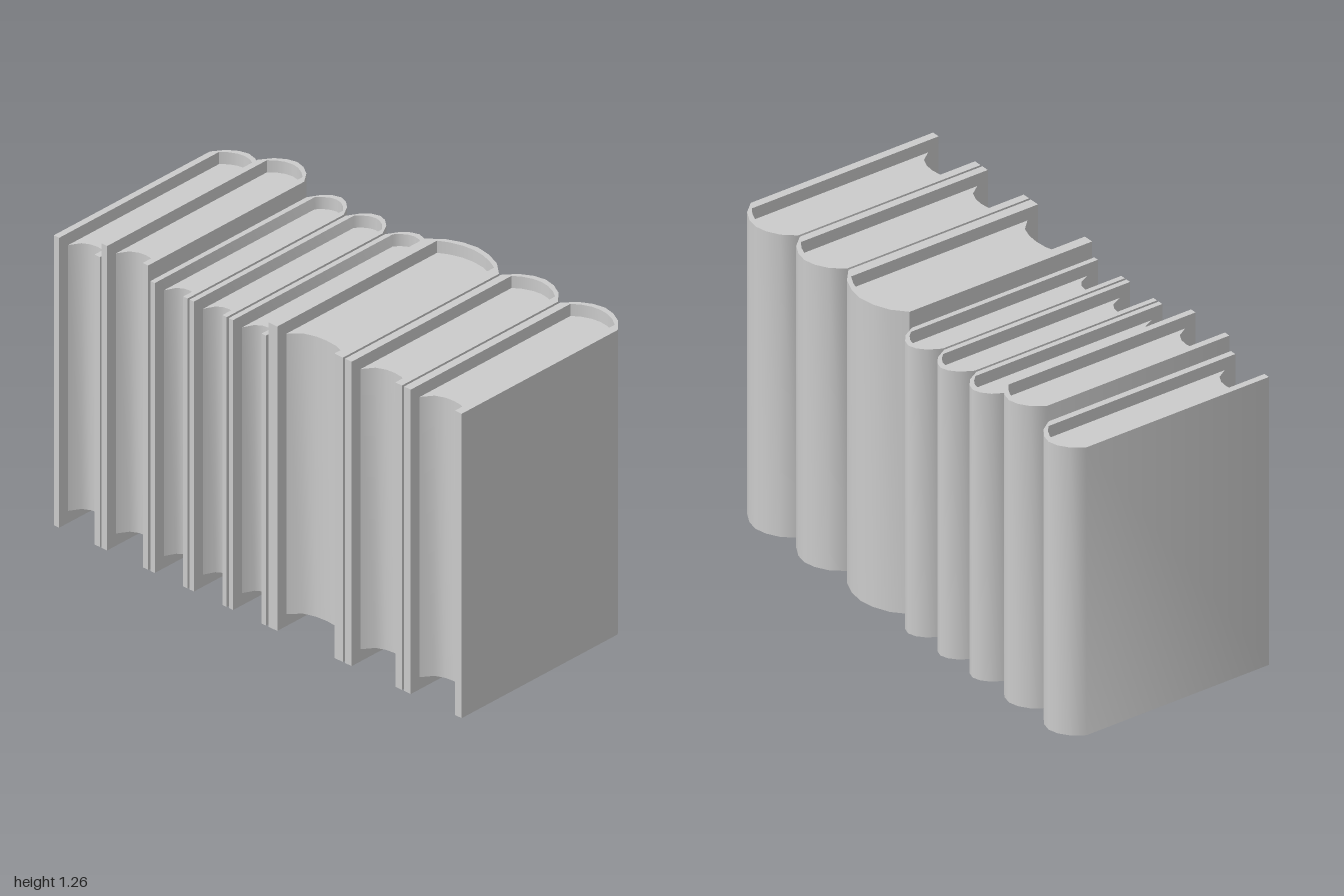
import * as THREE from 'three';
import { toCreasedNormals } from 'three/addons/utils/BufferGeometryUtils.js';

const material = new THREE.MeshStandardMaterial({ color: 0xcccccc });
const FRONT = 0.45, INSET = 0.05;

// [left edge, right edge, height] of each volume along the row
const BOOKS = [
  [-1, -0.774, 1.2], [-0.765, -0.537, 1.26],
  [-0.526, -0.344, 1.2], [-0.334, -0.152, 1.2], [-0.142, 0.04, 1.2],
  [0.053, 0.418, 1.26], [0.428, 0.707, 1.26], [0.717, 1, 1.26],
];

// Curved edge from -half to +half; drops are the falls from the peak at each step outwards
function arc(half, peak, drops) {
  const steps = [1, 0.7, 0.35];
  const side = steps.map((u, i) => [u * half, peak - drops[i]]);
  return [
    ...side.map(([x, y]) => new THREE.Vector2(-x, y)),
    new THREE.Vector2(0, peak),
    ...side.reverse().map(([x, y]) => new THREE.Vector2(x, y)),
  ];
}

// Plan outline (shape y points to the back) raised into a solid
function raise(points, bottom, top, name) {
  const geometry = new THREE.ExtrudeGeometry(new THREE.Shape(points), { depth: top - bottom, bevelEnabled: false });
  geometry.rotateX(-Math.PI / 2).translate(0, bottom, 0);
  const mesh = new THREE.Mesh(toCreasedNormals(geometry, Math.PI / 4), material);
  mesh.name = name;
  return mesh;
}

function createBook(width, height) {
  const book = new THREE.Group();
  const half = width / 2, inner = half - width * 0.117;
  const outerSpine = arc(half, 0.45, [0.085, 0.037, 0.01]);
  const innerSpine = arc(inner, 0.427, [0.042, 0.02, 0.005]);
  const foreEdge = arc(inner, -0.34, [0.063, 0.02, 0.004]);

  // Hard cover: two boards joined by a rounded spine
  const cover = [
    new THREE.Vector2(-half, -FRONT), ...outerSpine, new THREE.Vector2(half, -FRONT),
    new THREE.Vector2(inner, -FRONT), ...innerSpine.slice().reverse(), new THREE.Vector2(-inner, -FRONT),
  ];
  book.add(raise(cover, 0, height, 'cover'));

  // Pages: rounded at the spine, hollowed at the fore edge
  foreEdge.forEach((p) => { p.y = -0.68 - p.y; });
  const pages = [...innerSpine, ...foreEdge.map((p) => new THREE.Vector2(p.x, -0.68 - p.y)).reverse()];
  book.add(raise(pages, INSET, height - INSET, 'pages'));
  return book;
}

export function createModel() {
  const row = new THREE.Group();
  row.name = 'bookRow';
  BOOKS.forEach(([left, right, height], i) => {
    const book = createBook(right - left, height);
    book.name = `book${i + 1}`;
    book.position.x = (left + right) / 2;
    row.add(book);
  });
  return row;
}
